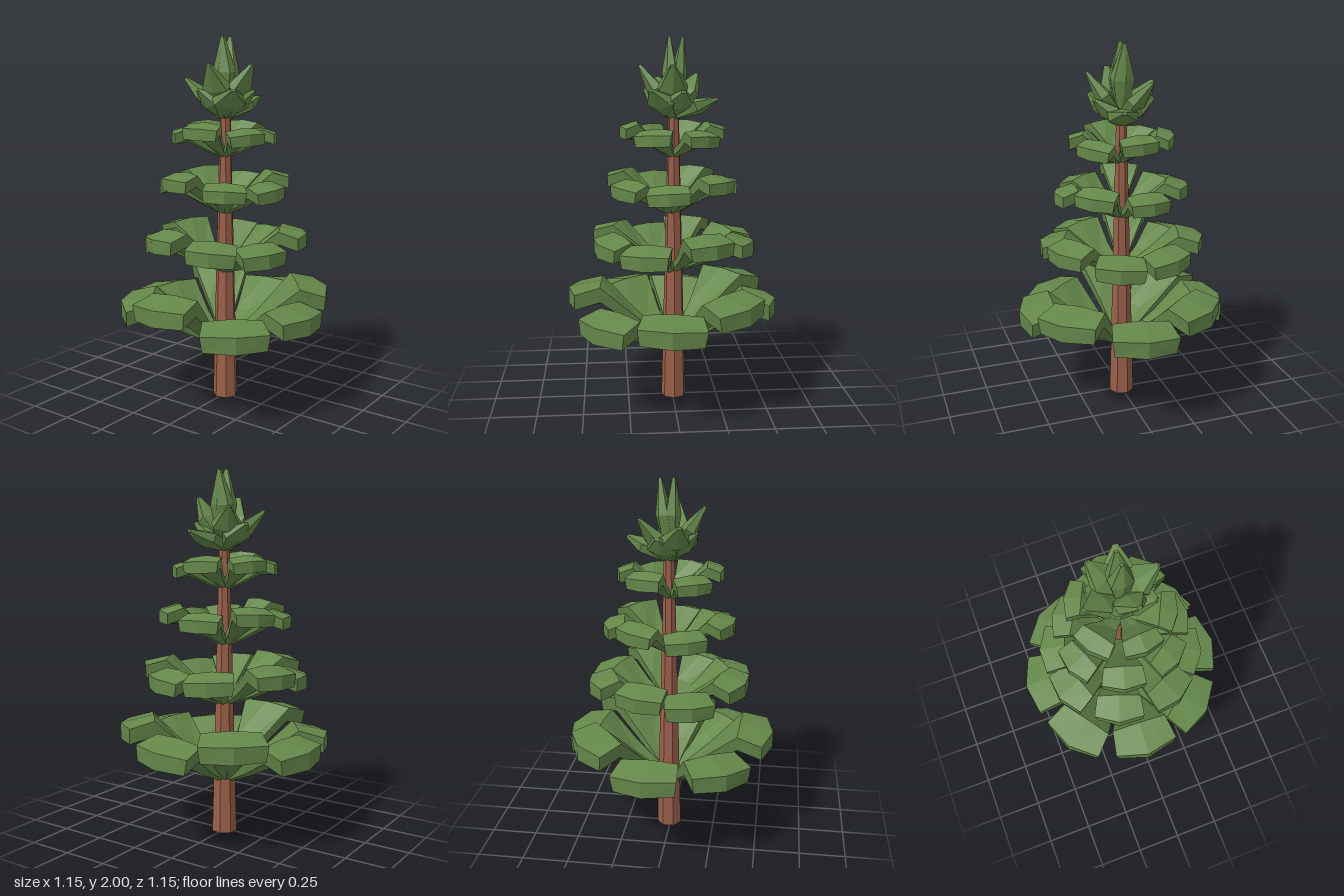
import * as THREE from 'three';

const green = new THREE.MeshStandardMaterial({ color: 0x64874a, flatShading: true });
const brown = new THREE.MeshStandardMaterial({ color: 0x9a5f49, flatShading: true });
const rad = THREE.MathUtils.degToRad;

// Lofts a six-sided blade along +x from sections
// { x, y: top height, w: half width, t: thickness, bow: centre pushed outward, keel, ridge }
function blade(sections) {
  const rings = sections.map(({ x, y, w, t, bow = 0, keel = 0, ridge = 0 }) => [
    [x, y, -w], [x + bow, y + ridge, 0], [x, y, w],
    [x, y - t, w * 0.92], [x + bow, y - t - keel, 0], [x, y - t, -w * 0.92],
  ]);
  const pos = [];
  const tri = (a, b, c) => pos.push(...a, ...b, ...c);
  for (let s = 0; s < rings.length - 1; s++) {
    for (let i = 0; i < 6; i++) {
      const j = (i + 1) % 6;
      const [a, b, c, d] = [rings[s][i], rings[s][j], rings[s + 1][j], rings[s + 1][i]];
      tri(a, b, c);
      tri(a, c, d);
    }
  }
  // end caps, split along the centre line
  const cap = (r, flip) => {
    for (const [a, b, c] of [[0, 1, 4], [0, 4, 5], [1, 2, 3], [1, 3, 4]]) {
      if (flip) tri(r[a], r[c], r[b]);
      else tri(r[a], r[b], r[c]);
    }
  };
  cap(rings[0], true);
  cap(rings[rings.length - 1], false);
  const geo = new THREE.BufferGeometry();
  geo.setAttribute('position', new THREE.Float32BufferAttribute(pos, 3));
  geo.computeVertexNormals();
  return geo;
}

// A frond rises from the trunk, then droops slightly into a wide blunt end
function frond(R, rise, w, t, lift) {
  const top = rise + lift;
  return blade([
    { x: 0.02, y: 0.03, w: 0.02, t: 0.03, keel: 0.01 },
    { x: R * 0.36, y: top * 0.56, w: w * 0.44, t: t * 0.65, keel: t * 0.3, ridge: -0.01 },
    { x: R * 0.68, y: top + R * 0.04, w: w * 0.87, t, keel: t * 0.45, ridge: 0.01 },
    { x: R * 0.915, y: top - 0.012, w, t, bow: R * 0.08, ridge: 0.006 },
  ]);
}

// A thick pointed leaf for the crown
function leaf(len, w, t) {
  return blade([
    { x: 0, y: t * 0.3, w: w * 0.4, t: t * 0.6 },
    { x: len * 0.55, y: t * 0.3, w, t: t * 0.6, ridge: t * 0.2, keel: t * 0.3 },
    { x: len, y: 0.007, w: w * 0.15, t: 0.014 },
  ]);
}

// Each frond is [angle in degrees, extra height]
const tiers = [
  { name: 'bottomBranches', y: 0.29, R: 0.58, rise: 0.28, w: 0.18, t: 0.085, fronds: [
    [6, 0.01], [49, 0.07], [95, 0], [139, -0.03], [183, 0.07], [234, 0], [277, -0.01], [322, 0.07]] },
  { name: 'lowerBranches', y: 0.73, R: 0.455, rise: 0.175, w: 0.135, t: 0.07, fronds: [
    [20, 0.02], [64, 0.06], [114, 0.01], [156, 0.03], [200, 0.06], [249, 0.01], [287, 0.05], [337, 0.03]] },
  { name: 'middleBranches', y: 1.06, R: 0.365, rise: 0.165, w: 0.115, t: 0.06, fronds: [
    [-9, 0.01], [44, 0.04], [96, 0], [146, 0.01], [197, 0.05], [248, 0.01], [300, 0.04]] },
  { name: 'upperBranches', y: 1.37, R: 0.285, rise: 0.13, w: 0.105, t: 0.055, fronds: [
    [-5, 0.03], [54, 0], [116, 0.01], [175, 0.04], [235, 0.01], [295, 0.03]] },
];

// Each crown leaf is [angle, tilt, length, half width]
const crownLeaves = {
  outerLeaf: [[15, 20, 0.26, 0.08], [75, 38, 0.21, 0.09], [132, 36, 0.23, 0.09],
    [205, 40, 0.21, 0.09], [285, 36, 0.21, 0.09]],
  innerLeaf: [[172, 55, 0.32, 0.08], [95, 55, 0.32, 0.08], [250, 41, 0.29, 0.08], [320, 49, 0.28, 0.08]],
  topSpike: [[0, 83, 0.41, 0.062], [180, 87, 0.41, 0.062]],
};

function addBlade(parent, name, geometry, angle, tilt, roll) {
  const mesh = new THREE.Mesh(geometry, green);
  mesh.name = name;
  mesh.rotation.set(roll, -rad(angle), rad(tilt), 'YZX');
  parent.add(mesh);
}

export function createModel() {
  const tree = new THREE.Group();
  tree.name = 'pineTree';

  // tapered trunk
  const trunk = new THREE.Mesh(new THREE.CylinderGeometry(0.028, 0.07, 1.64, 7), brown);
  trunk.name = 'trunk';
  trunk.position.set(0.008, 0.82, 0);
  tree.add(trunk);

  // rings of fronds
  for (const { name, y, R, rise, w, t, fronds } of tiers) {
    const ring = new THREE.Group();
    ring.name = name;
    ring.position.y = y;
    fronds.forEach(([angle, lift], i) => {
      addBlade(ring, 'frond', frond(R, rise, w, t, lift), angle, 0, 0.06 * Math.sin(i * 2.4 + R * 9));
    });
    tree.add(ring);
  }

  // crown of pointed leaves
  const crown = new THREE.Group();
  crown.name = 'crown';
  crown.position.set(0.005, 1.59, 0);
  for (const [name, leaves] of Object.entries(crownLeaves)) {
    for (const [angle, tilt, len, w] of leaves) addBlade(crown, name, leaf(len, w, 0.08), angle, tilt, 0);
  }
  tree.add(crown);

  return tree;
}
